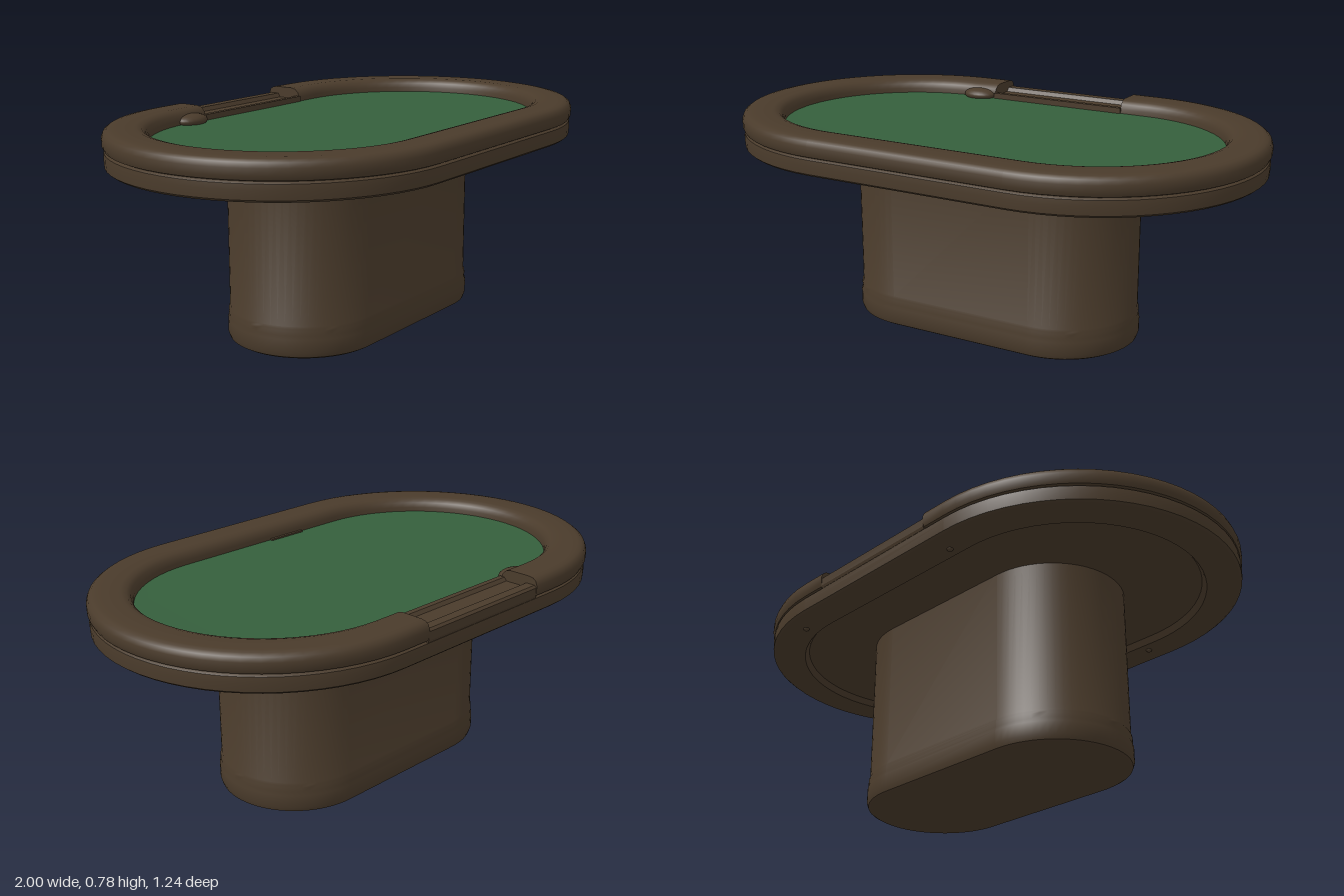
import * as THREE from 'three';
import { toCreasedNormals } from 'three/addons/utils/BufferGeometryUtils.js';

const TOP_L = 0.38;   // half length of the straight sides of the table top
const BASE_L = 0.283; // same for the pedestal
const GAP = 0.28;     // half width of the opening for the dealer tray

// Stations round an oval, back -> right -> front -> left: centre x and outward direction
function ovalPath(half, steps = 32) {
  const path = [];
  for (const side of [1, -1]) {
    for (let i = 0; i <= steps; i++) {
      const a = side * (-Math.PI / 2 + (Math.PI * i) / steps);
      path.push({ cx: side * half, nx: side * Math.cos(a), nz: side * Math.sin(side * a) });
    }
  }
  return path;
}

// Sweep a profile of [offset, y] points along a path
function sweep(profile, path, closed) {
  const pos = [], idx = [], n = profile.length;
  const stations = closed ? [...path, path[0]] : path;
  stations.forEach(({ cx, nx, nz }) => {
    for (const [r, y] of profile) pos.push(cx + nx * r, y, nz * r);
  });
  for (let s = 0; s < stations.length - 1; s++) {
    for (let j = 0; j < n - 1; j++) {
      const a = s * n + j, b = a + n;
      idx.push(a, a + 1, b, a + 1, b + 1, b);
    }
  }
  const g = new THREE.BufferGeometry();
  g.setAttribute('position', new THREE.Float32BufferAttribute(pos, 3));
  g.setIndex(idx);
  return toCreasedNormals(g, 0.7);
}

// Straight bar along x with a cross-section of [distance behind centre, y] points
function bar(profile, x0, length) {
  const shape = new THREE.Shape(profile.map(([r, y]) => new THREE.Vector2(r, y)));
  const g = new THREE.ExtrudeGeometry(shape, { depth: length, bevelEnabled: false });
  return g.rotateY(Math.PI / 2).translate(x0, 0, 0);
}

export function createModel() {
  const table = new THREE.Group();
  table.name = 'cardTable';
  const wood = new THREE.MeshStandardMaterial({ color: 0x4a3b2b });
  wood.name = 'darkBrown';
  const green = new THREE.MeshStandardMaterial({ color: 0x355f3c });
  green.name = 'feltGreen';

  const add = (name, geometry, material = wood) => {
    const mesh = new THREE.Mesh(geometry, material);
    mesh.name = name;
    table.add(mesh);
    return mesh;
  };

  // Pedestal with a moulded plinth
  add('pedestal', sweep([
    [0, 0], [0.262, 0], [0.274, 0.007], [0.28, 0.024], [0.28, 0.07], [0.276, 0.084],
    [0.277, 0.1], [0.276, 0.108], [0.272, 0.115], [0.272, 0.68],
  ], ovalPath(BASE_L), true));

  // Apron below the rail, with a shallow recess underneath
  add('apron', sweep([
    [0, 0.668], [0.475, 0.668], [0.49, 0.646], [0.604, 0.646], [0.614, 0.654],
    [0.616, 0.685], [0.614, 0.704], [0.604, 0.712], [0.45, 0.712],
  ], ovalPath(TOP_L), true));

  // Playing surface
  add('felt', sweep([[0.5, 0.73], [0.42, 0.727], [0, 0.727]], ovalPath(TOP_L), true), green);

  // Padded rail, open at the back for the tray
  const railProfile = [
    [0.6, 0.708], [0.614, 0.714], [0.62, 0.728], [0.62, 0.752], [0.614, 0.768], [0.602, 0.777],
    [0.585, 0.78], [0.505, 0.78], [0.486, 0.775], [0.473, 0.763], [0.466, 0.745], [0.465, 0.715],
  ];
  const back = (cx) => ({ cx, nx: 0, nz: -1 });
  const railPath = [back(GAP), ...ovalPath(TOP_L), back(-GAP)];
  add('rail', sweep([...railProfile, railProfile[0]], railPath, false));
  for (const side of [1, -1]) {
    add('railEnd', bar(railProfile, side * GAP - 0.002, 0.004));
  }

  // Dealer tray with a raised lip on each side of its trough
  add('dealerTray', bar([
    [0.46, 0.705], [0.614, 0.705], [0.618, 0.715], [0.618, 0.745], [0.61, 0.753], [0.575, 0.753],
    [0.565, 0.738], [0.49, 0.738], [0.48, 0.75], [0.46, 0.75],
  ], -GAP, 2 * GAP));

  // Small rounded knob beside the tray
  const knob = add('knob', new THREE.SphereGeometry(1, 24, 12));
  knob.scale.set(0.068, 0.025, 0.05);
  knob.position.set(-0.35, 0.738, -0.47);

  // Slim slot on the inner front edge of the rail
  const slot = add('slot', new THREE.BoxGeometry(0.16, 0.012, 0.02));
  slot.position.set(-0.11, 0.728, 0.464);

  // Fixing studs under the apron
  for (const [x, z] of [[-0.32, 0.53], [0.48, 0.53], [-0.32, -0.53], [0.48, -0.53]]) {
    const stud = add('stud', new THREE.SphereGeometry(0.012, 12, 8));
    stud.position.set(x, 0.648, z);
  }
  return table;
}
